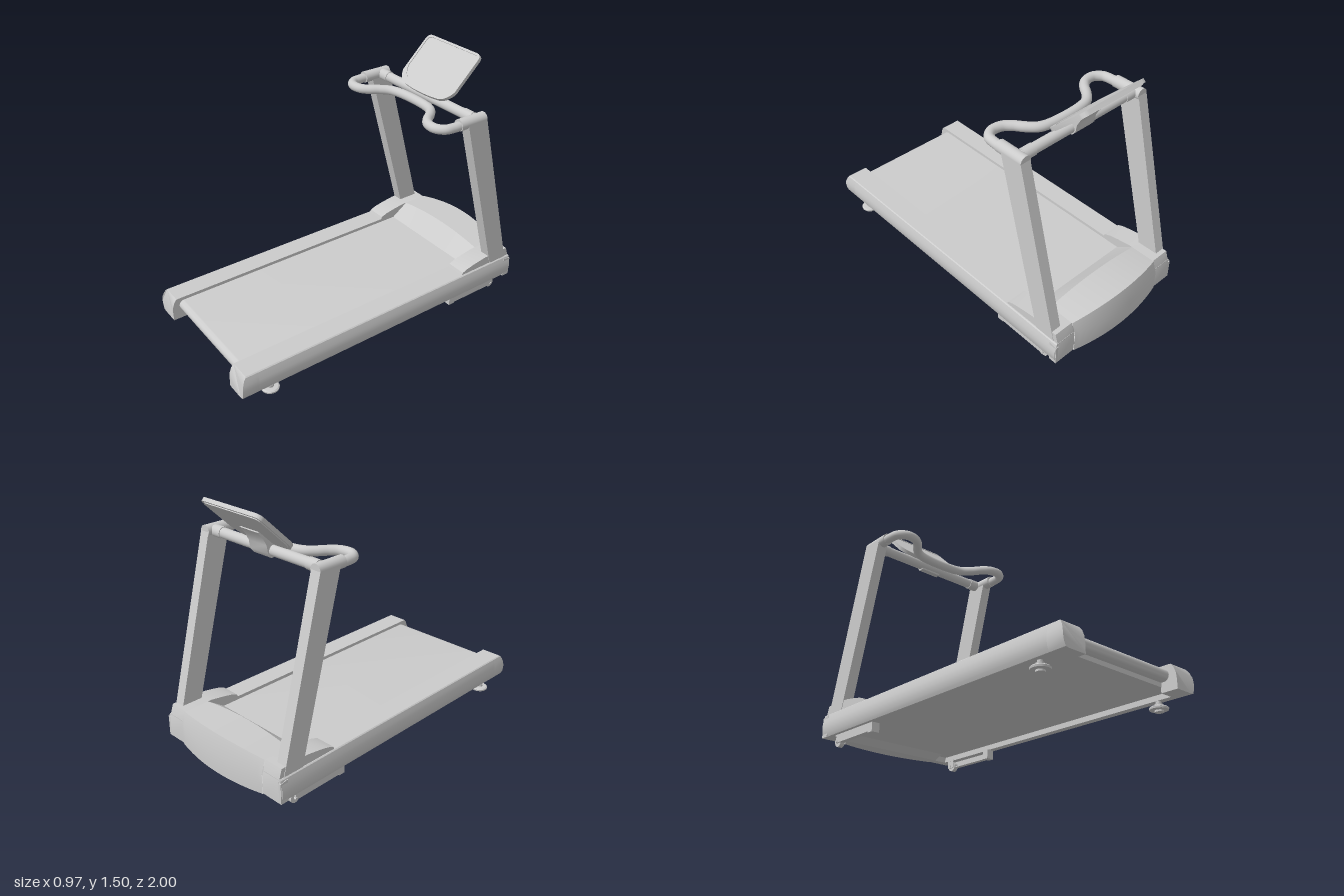
import * as THREE from 'three';
import { toCreasedNormals } from 'three/addons/utils/BufferGeometryUtils.js';

const grey = new THREE.MeshStandardMaterial({ color: 0xcccccc, side: THREE.DoubleSide });

export function createModel() {
  const model = new THREE.Group();

  const add = (name, geo, x = 0, y = 0, z = 0) => {
    const mesh = new THREE.Mesh(geo, grey);
    mesh.name = name;
    mesh.position.set(x, y, z);
    model.add(mesh);
    return mesh;
  };
  const shapeOf = (pts) => new THREE.Shape(pts.map(([a, b]) => new THREE.Vector2(a, b)));
  const crease = (geo, angle = 0.6) => toCreasedNormals(geo, angle);

  // Extrudes a [z, y] outline across the width from x0 to x1
  const acrossX = (pts, x0, x1) => {
    const geo = new THREE.ExtrudeGeometry(shapeOf(pts.map(([z, y]) => [-z, y])),
      { depth: x1 - x0, bevelEnabled: false });
    return crease(geo.rotateY(Math.PI / 2).translate(x0, 0, 0));
  };
  // The same strip placed on the left (s = 1) or right (s = -1)
  const sideStrip = (pts, s, a, b) => acrossX(pts, Math.min(s * a, s * b), Math.max(s * a, s * b));
  // Extrudes an [x, y] outline along z from z0 to z1
  const alongZ = (pts, z0, z1) =>
    new THREE.ExtrudeGeometry(shapeOf(pts), { depth: z1 - z0, bevelEnabled: false }).translate(0, 0, z0);
  const rod = (axis, r, len) => {
    const geo = new THREE.CylinderGeometry(r, r, len, 28);
    return axis === 'x' ? geo.rotateZ(Math.PI / 2) : axis === 'z' ? geo.rotateX(Math.PI / 2) : geo;
  };

  // Joins equal closed loops of points into a solid with flat ends
  const loft = (loops) => {
    const n = loops[0].length, pos = loops.flat(2), idx = [];
    for (let i = 0; i < loops.length - 1; i++) {
      for (let j = 0; j < n; j++) {
        const a = i * n + j, b = i * n + (j + 1) % n;
        idx.push(a, b, a + n, b, b + n, a + n);
      }
    }
    const geo = new THREE.BufferGeometry();
    geo.setAttribute('position', new THREE.Float32BufferAttribute(pos, 3));
    geo.setIndex(idx);
    return crease(geo.toNonIndexed(), 0.4);
  };

  // Running belt with rounded front end, and the underside panel
  const belt = [[-0.9, 0.19], [-0.9, 0.125]];
  for (let i = 0; i <= 12; i++) {
    const a = -Math.PI / 2 + Math.PI * i / 12;
    belt.push([0.922 + 0.033 * Math.cos(a), 0.1575 + 0.0325 * Math.sin(a)]);
  }
  add('runningBelt', acrossX(belt, -0.34, 0.34));
  add('undersidePanel', new THREE.BoxGeometry(0.86, 0.025, 1.85), 0, 0.1125, -0.02);

  // Motor hood: arched across the width and bowed at the back
  const hoodLoops = [];
  for (let i = 0; i <= 24; i++) {
    const x = -0.34 + 0.68 * i / 24;
    const k = 1 - (x / 0.34) ** 2;
    const top = 0.265 + 0.03 * k, back = -0.955 - 0.045 * k;
    hoodLoops.push([[x, 0.07, -0.9], [x, 0.185, -0.66], [x, 0.19, -0.66], [x, top, -0.77],
      [x, top, back + 0.025], [x, 0.19, back], [x, 0.07, back]]);
  }
  add('motorHood', loft(hoodLoops));

  for (const s of [1, -1]) {
    const side = s > 0 ? 'left' : 'right';

    // Side rail: bulged outside, hollowed below the deck
    const outer = [[0.45, 0.07], [0.47, 0.073], [0.48, 0.095], [0.485, 0.13], [0.483, 0.16],
      [0.476, 0.19], [0.472, 0.205], [0.466, 0.21]];
    const mirror = (pts) => pts.map(([x, y]) => [s * x, y]);
    add(side + 'Rail', crease(alongZ(mirror([[0.42, 0.07], ...outer, [0.34, 0.21], [0.34, 0.12],
      [0.42, 0.12]]), -0.945, 0.9)));

    // Rail end cap, its front face rounded off towards top and bottom
    const cap = alongZ(mirror([[0.34, 0.07], ...outer, [0.34, 0.21], [0.34, 0.205], [0.34, 0.19],
      [0.34, 0.16], [0.34, 0.13], [0.34, 0.095], [0.34, 0.073]]), 0.9, 1);
    const p = cap.attributes.position;
    for (let i = 0; i < p.count; i++) {
      if (p.getZ(i) > 0.95) p.setZ(i, 1 - 0.03 * Math.max(0, (p.getY(i) - 0.12) / 0.09) ** 3);
    }
    add(side + 'RailCap', crease(cap));

    // Hood shoulder at the foot of the upright
    add(side + 'HoodShoulder', sideStrip([[-0.55, 0.2], [-0.56, 0.225], [-0.6, 0.24], [-0.66, 0.252],
      [-0.745, 0.265], [-0.925, 0.265], [-0.95, 0.19], [-0.95, 0.07], [-0.9, 0.07], [-0.85, 0.2]],
    s, 0.34, 0.462));
    add(side + 'HoodCorner', sideStrip([[-0.9, 0.07], [-0.9, 0.2], [-0.95, 0.19], [-0.95, 0.07]],
      s, 0.462, 0.478));

    // Raked upright with a round head
    add(side + 'Upright', sideStrip([[-0.79, 0.19], [-0.918, 0.19], [-0.643, 1.235], [-0.503, 1.235]],
      s, 0.4, 0.465));
    add(side + 'UprightHead', rod('z', 0.035, 0.183), s * 0.43, 1.235, -0.5515);
    add(side + 'CrossbarSleeve', rod('x', 0.034, 0.07), s * 0.37, 1.235, -0.59);

    // Levelling foot under the front
    const foot = [[0, 0.012], [0.024, 0.012], [0.024, 0.022], [0.05, 0.024], [0.052, 0.034], [0.045, 0.04],
      [0.022, 0.042], [0.022, 0.056], [0.014, 0.058], [0.014, 0.075]];
    add(side + 'FrontFoot', crease(new THREE.LatheGeometry(foot.map(([r, y]) => new THREE.Vector2(r, y)), 28)
      .toNonIndexed()), s * 0.435, 0, 0.81);

    // Rear support channel with transport wheel
    add(side + 'SupportTop', new THREE.BoxGeometry(0.05, 0.008, 0.36), s * 0.43, 0.066, -0.66);
    add(side + 'SupportWeb', new THREE.BoxGeometry(0.008, 0.045, 0.35), s * 0.451, 0.0445, -0.655);
    add(side + 'SupportLip', new THREE.BoxGeometry(0.03, 0.006, 0.33), s * 0.44, 0.025, -0.645);
    add(side + 'SupportEnd', new THREE.BoxGeometry(0.05, 0.055, 0.04), s * 0.43, 0.0425, -0.49);
    add(side + 'Wheel', rod('x', 0.03, 0.028), s * 0.43, 0.03, -0.825);
    add(side + 'WheelAxle', rod('x', 0.009, 0.056), s * 0.43, 0.03, -0.825);
    add(side + 'WheelFork', new THREE.BoxGeometry(0.006, 0.055, 0.05), s * 0.409, 0.045, -0.825);
  }

  // Crossbar and the looping front handlebar
  add('crossbar', rod('x', 0.03, 0.86), 0, 1.235, -0.59);
  const half = [[0.43, -0.55], [0.43, -0.42], [0.42, -0.372], [0.375, -0.337], [0.31, -0.343], [0.265, -0.378],
    [0.225, -0.43], [0.175, -0.475], [0.1, -0.495]];
  const path = [...half, ...half.map(([x, z]) => [-x, z]).reverse()]
    .map(([x, z]) => new THREE.Vector3(x, 1.23, z));
  add('handlebar', new THREE.TubeGeometry(new THREE.CatmullRomCurve3(path), 140, 0.028, 20));

  // Console screen: wide rounded bottom, raised rim
  const outline = (Cls, w, y0, y1, r) => {
    const o = new Cls();
    o.moveTo(-w * 0.62, y0 + 0.008);
    o.quadraticCurveTo(0, y0 - 0.008, w * 0.62, y0 + 0.008);
    o.quadraticCurveTo(w * 0.88, y0 + 0.015, w, y0 + 0.085);
    o.lineTo(w, y1 - r);
    o.quadraticCurveTo(w, y1, w - r, y1);
    o.lineTo(-w + r, y1);
    o.quadraticCurveTo(-w, y1, -w, y1 - r);
    o.lineTo(-w, y0 + 0.085);
    o.quadraticCurveTo(-w * 0.88, y0 + 0.015, -w * 0.62, y0 + 0.008);
    return o;
  };
  const consoleGroup = new THREE.Group();
  consoleGroup.name = 'console';
  consoleGroup.position.set(0, 1.263, -0.545);
  consoleGroup.rotation.x = -0.81;
  const rim = outline(THREE.Shape, 0.228, 0, 0.35, 0.04);
  rim.holes.push(outline(THREE.Path, 0.212, 0.035, 0.336, 0.03));
  const slab = (name, shape, z0, depth) => {
    const mesh = new THREE.Mesh(crease(new THREE.ExtrudeGeometry(shape,
      { depth, bevelEnabled: false, curveSegments: 10 }).translate(0, 0, z0)), grey);
    mesh.name = name;
    consoleGroup.add(mesh);
  };
  slab('screenRim', rim, -0.022, 0.022);
  slab('screenPanel', outline(THREE.Shape, 0.22, 0.01, 0.342, 0.035), -0.018, 0.014);
  slab('screenBack', outline(THREE.Shape, 0.215, 0.012, 0.338, 0.035), -0.027, 0.01);
  model.add(consoleGroup);

  // Bracket that clasps the crossbar and holds the console
  add('consoleBracket', acrossX([[-0.57, 1.25], [-0.575, 1.2], [-0.605, 1.197], [-0.627, 1.225],
    [-0.634, 1.27], [-0.655, 1.31], [-0.69, 1.352], [-0.67, 1.355], [-0.59, 1.28]], -0.07, 0.07));

  return model;
}
